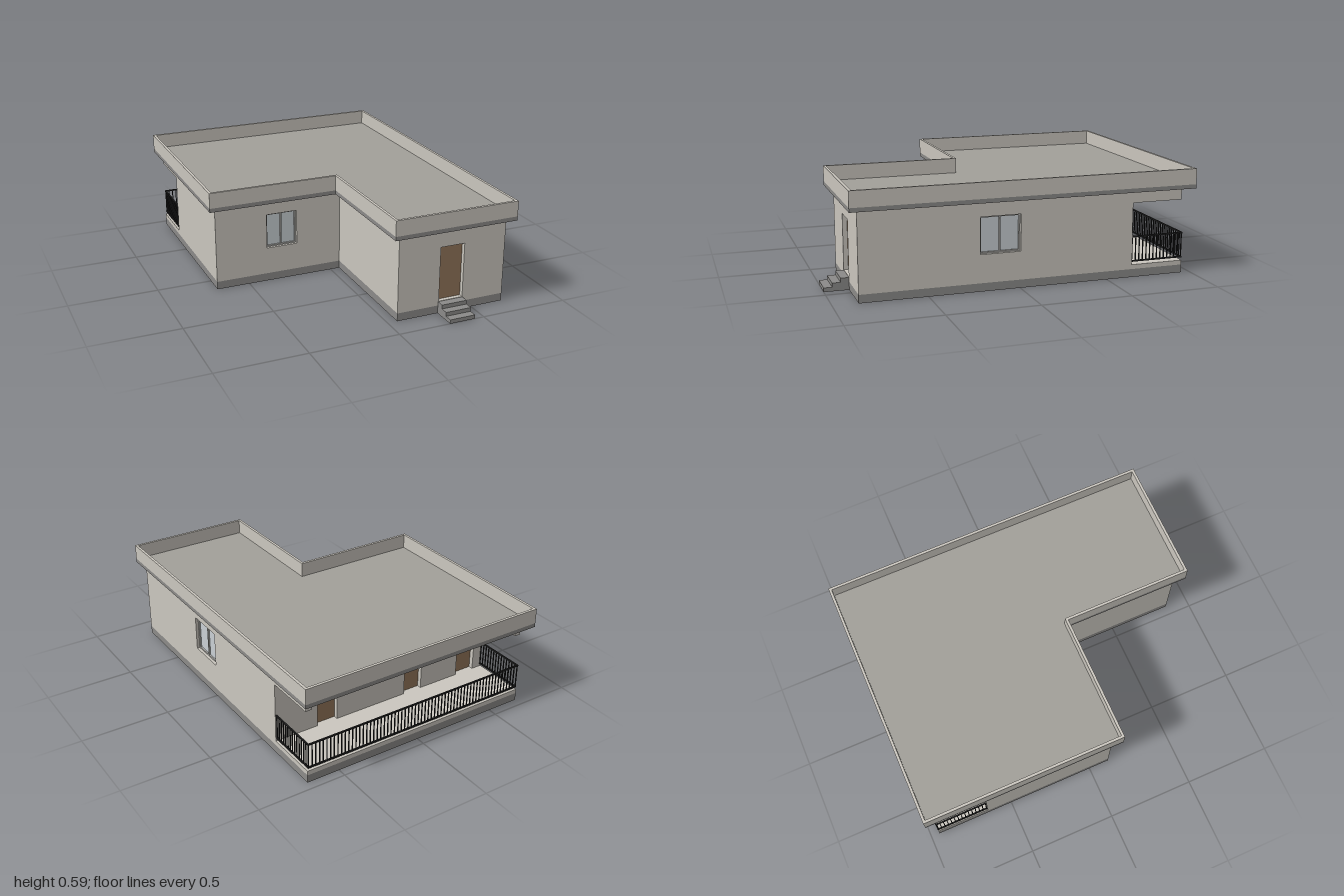
import * as THREE from 'three';

const mat = (color) => new THREE.MeshStandardMaterial({ color });
const M = {
  wall: mat(0xcbc7bf), concrete: mat(0x8c8b89), deck: mat(0xa2a09a), door: mat(0x93765a),
  frame: mat(0xb4b3af), glass: mat(0xc9d0d4), rail: mat(0x222222),
};

function add(parent, name, geometry, material, x = 0, y = 0, z = 0) {
  const mesh = new THREE.Mesh(geometry, material);
  mesh.name = name;
  mesh.position.set(x, y, z);
  parent.add(mesh);
  return mesh;
}

// box given by its minimum and maximum corners
function span(parent, name, material, [x0, y0, z0], [x1, y1, z1]) {
  return add(parent, name, new THREE.BoxGeometry(x1 - x0, y1 - y0, z1 - z0), material,
    (x0 + x1) / 2, (y0 + y1) / 2, (z0 + z1) / 2);
}

// L-shaped outline: half width w, back and front edges, inner corner at (nx, nz)
const outline = (w, back, front, nx, nz) =>
  [[-w, nz], [nx, nz], [nx, front], [w, front], [w, back], [-w, back]];

// flat slab from plan points (x, z), with an optional hole
function slab(parent, name, material, points, y0, y1, hole) {
  const toPlan = (list) => list.map(([x, z]) => new THREE.Vector2(x, -z));
  const shape = new THREE.Shape(toPlan(points));
  if (hole) shape.holes.push(new THREE.Path(toPlan(hole)));
  const geometry = new THREE.ExtrudeGeometry(shape, { depth: y1 - y0, bevelEnabled: false });
  geometry.rotateX(-Math.PI / 2);
  return add(parent, name, geometry, material, 0, y0, 0);
}

const BASE = 0.045, FLOOR = 0.07, EAVES = 0.48, THICK = 0.04, RECESS = 0.025;

// door leaf set back in its opening
function door(parent, { u0, u1, y0, y1 }) {
  span(parent, 'door', M.door, [u0, y0, -THICK], [u1, y1, -RECESS]);
}

// two-pane window with a thin frame and a centre mullion
function windowUnit(parent, { u0, u1, y0, y1 }) {
  const f = 0.008, mid = (u0 + u1) / 2;
  const group = new THREE.Group();
  group.name = 'window';
  parent.add(group);
  span(group, 'glass', M.glass, [u0, y0, -THICK], [u1, y1, -RECESS]);
  for (const u of [u0, mid - f / 2, u1 - f])
    span(group, 'windowUpright', M.frame, [u, y0, -RECESS - 0.002], [u + f, y1, -0.016]);
  for (const y of [y0, y1 - f])
    span(group, 'windowRail', M.frame, [u0, y, -RECESS - 0.002], [u1, y + f, -0.016]);
}

// wall from plan point a to b, outer face on the line, with openings cut through
function wall(parent, name, a, b, openings = []) {
  const dx = b[0] - a[0], dz = b[1] - a[1], length = Math.hypot(dx, dz);
  const group = new THREE.Group();
  group.name = name;
  group.position.set(a[0], 0, a[1]);
  group.rotation.y = Math.atan2(-dz, dx);
  parent.add(group);
  const rect = (u0, y0, u1, y1) =>
    [[u0, y0], [u1, y0], [u1, y1], [u0, y1]].map(([u, y]) => new THREE.Vector2(u, y));
  const shape = new THREE.Shape(rect(0, BASE, length, EAVES));
  for (const o of openings) {
    shape.holes.push(new THREE.Path(rect(o.u0, o.y0, o.u1, o.y1)));
    o.fill(group, o);
  }
  add(group, 'wallPanel', new THREE.ExtrudeGeometry(shape, { depth: THICK, bevelEnabled: false }),
    M.wall, 0, 0, -THICK);
}

// straight railing between two plan points
function railing(parent, name, a, b) {
  const dx = b[0] - a[0], dz = b[1] - a[1], length = Math.hypot(dx, dz);
  const group = new THREE.Group();
  group.name = name;
  group.position.set(a[0], 0, a[1]);
  group.rotation.y = Math.atan2(-dz, dx);
  parent.add(group);
  const r = 0.004;
  for (const y of [0.089, 0.226])
    span(group, 'handrail', M.rail, [-r, y - r, -r], [length + r, y + r, r]);
  const count = Math.round(length / 0.022);
  const bar = new THREE.BoxGeometry(0.005, 0.137, 0.005);
  for (let i = 0; i <= count; i++)
    add(group, 'baluster', bar, M.rail, (length * i) / count, 0.1575, 0);
}

export function createModel() {
  const house = new THREE.Group();
  house.name = 'house';

  // plinth and veranda floor
  slab(house, 'plinth', M.concrete, outline(0.69, -0.95, 0.865, 0.055, 0.12), 0, BASE);
  span(house, 'verandaFloor', M.wall, [-0.69, BASE, -0.95], [0.69, FLOOR, -0.645]);

  // walls, each with its doors and windows
  const doorAt = (u0, u1) => ({ u0, u1, y0: FLOOR, y1: 0.38, fill: door });
  const windowAt = (u0, u1) => ({ u0, u1, y0: 0.2, y1: 0.4, fill: windowUnit });
  const p = outline(0.69, -0.645, 0.865, 0.055, 0.12);
  const walls = [
    ['recessedFrontWall', [windowAt(0.3, 0.48)]],
    ['innerSideWall', []],
    ['frontWall', [doorAt(0.245, 0.387)]],
    ['leftWall', [windowAt(0.643, 0.868)]],
    ['backWall', [doorAt(0.257, 0.38), doorAt(0.826, 0.942), doorAt(1.195, 1.318)]],
    ['rightWall', []],
  ];
  walls.forEach(([name, openings], i) => wall(house, name, p[i], p[(i + 1) % 6], openings));

  // roof slab, deck and parapet
  const edge = outline(0.73, -1, 0.91, 0.01, 0.165);
  const inner = outline(0.715, -0.985, 0.895, 0.025, 0.15);
  slab(house, 'roofSlab', M.concrete, edge, EAVES, 0.503);
  slab(house, 'roofDeck', M.deck, inner, 0.5, 0.507);
  slab(house, 'parapet', M.wall, edge, 0.503, 0.59, inner);

  // beams under the veranda roof, and side railings
  for (const s of [-1, 1]) {
    add(house, 'verandaBeam', new THREE.BoxGeometry(0.035, 0.065, 0.3), M.wall,
      s * 0.6725, 0.4475, -0.785);
    railing(house, 'sideRailing', [s * 0.683, -0.649], [s * 0.683, -0.947]);
  }
  railing(house, 'backRailing', [-0.683, -0.947], [0.683, -0.947]);

  // front steps
  for (let i = 0; i < 3; i++)
    span(house, 'step', M.concrete, [0.296, 0, 0.865], [0.445, 0.0225 * (i + 1), 1 - 0.045 * i]);

  return house;
}
